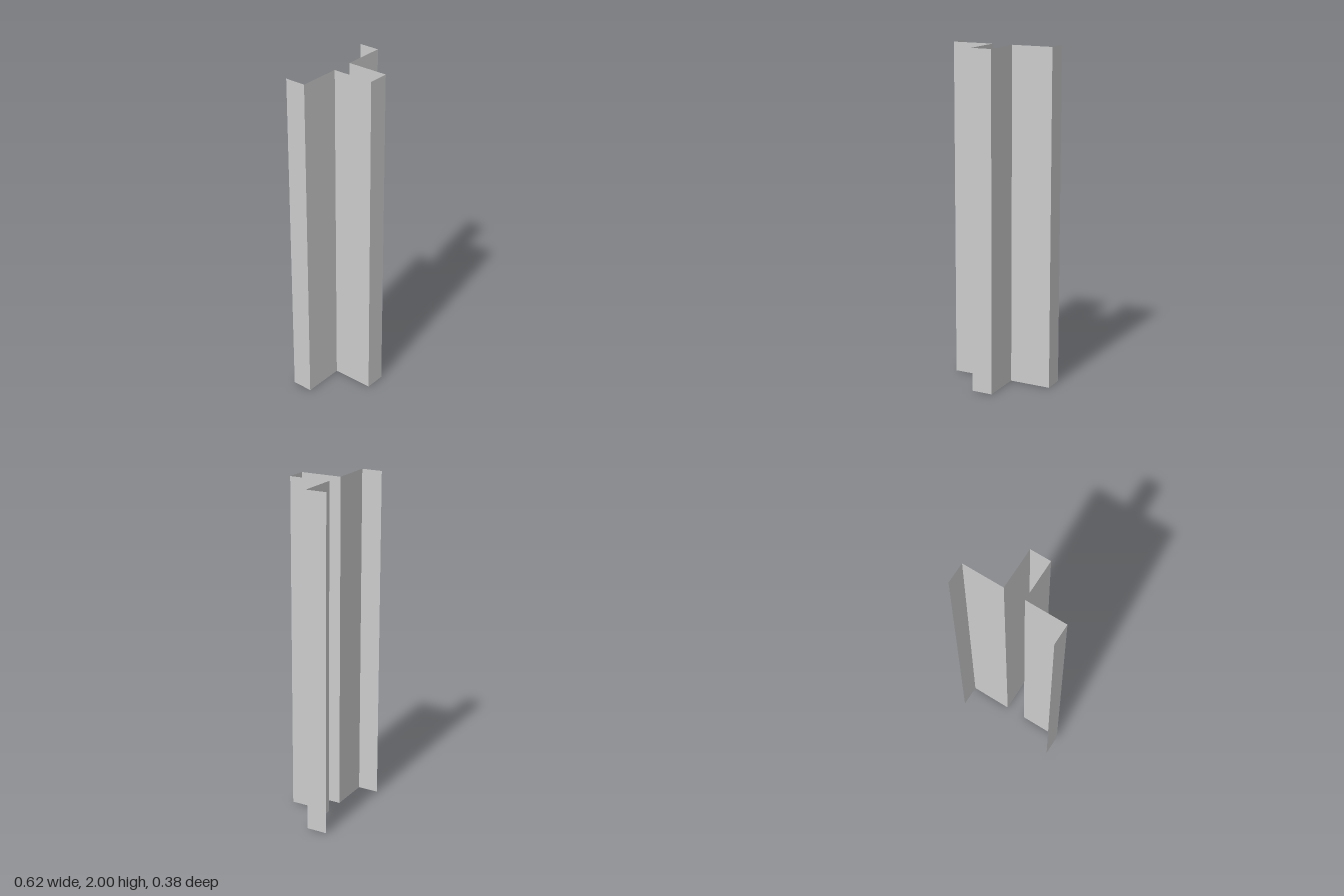
import * as THREE from 'three';

const HEIGHT = 2;
const U = 0.0625; // module of the folded section

export function createModel() {
  const group = new THREE.Group();
  group.name = 'hatChannel';
  const material = new THREE.MeshStandardMaterial({
    color: 0xcccccc, flatShading: true, side: THREE.DoubleSide,
  });

  // One upright sheet between two points (x, z) of the section
  const addSheet = (name, [x0, z0], [x1, z1]) => {
    const dx = x1 - x0, dz = z1 - z0;
    const sheet = new THREE.Mesh(new THREE.PlaneGeometry(Math.hypot(dx, dz), HEIGHT), material);
    sheet.name = name;
    sheet.position.set((x0 + x1) / 2, HEIGHT / 2, (z0 + z1) / 2);
    sheet.rotation.y = Math.atan2(-dz, dx);
    group.add(sheet);
  };

  // Half section: web corner, flange root, flange edge, lip edge
  const half = [[U, 3 * U], [U, -U], [5 * U, -U], [5 * U, -3 * U]];
  const mirror = ([x, z]) => [-x, z];

  addSheet('frontWeb', mirror(half[0]), half[0]);
  ['Side', 'Flange', 'Lip'].forEach((part, i) => {
    addSheet('left' + part, half[i], half[i + 1]);
    addSheet('right' + part, mirror(half[i + 1]), mirror(half[i]));
  });

  return group;
}
